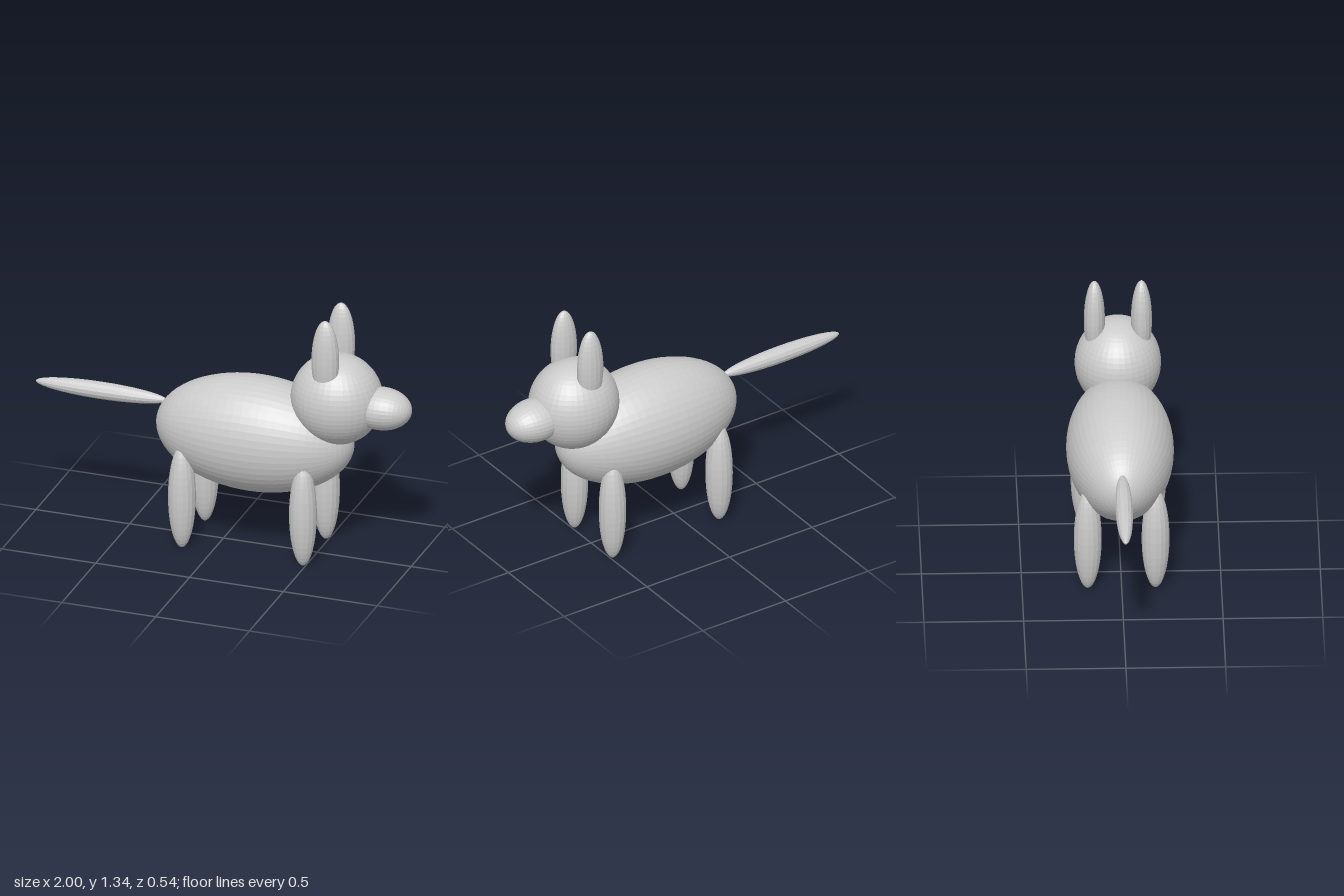
import * as THREE from 'three';

export function createModel() {
  const model = new THREE.Group();
  const material = new THREE.MeshStandardMaterial({ color: 0xcccccc, flatShading: true });

  // Faceted ellipsoid; its poles run along y, or along x when lengthwise.
  function ellipsoid(name, center, radii, sides, rings, lengthwise = false) {
    const geometry = new THREE.SphereGeometry(1, sides, rings);
    if (lengthwise) geometry.rotateZ(-Math.PI / 2);
    geometry.scale(...radii);
    const mesh = new THREE.Mesh(geometry, material);
    mesh.name = name;
    mesh.position.set(...center);
    model.add(mesh);
    return mesh;
  }

  // Torso, head and muzzle, facing +x
  ellipsoid('body', [0.17, 0.61, 0], [0.52, 0.30, 0.27], 48, 36, true);
  ellipsoid('head', [0.605, 0.868, 0], [0.235, 0.237, 0.217], 40, 28);
  ellipsoid('muzzle', [0.84, 0.848, 0], [0.16, 0.108, 0.121], 32, 20, true);

  // Thin tail, reaching straight back
  ellipsoid('tail', [-0.65, 0.713, 0], [0.35, 0.044, 0.044], 14, 20, true);

  // Paired ears and legs
  for (const [side, s] of [['right', -1], ['left', 1]]) {
    // The model's sides here run along z
    ellipsoid(`${side}Ear`, [0.585, 1.12, s * 0.118], [0.072, 0.22, 0.053], 16, 20);
    ellipsoid(`${side}FrontLeg`, [0.485, 0.28, s * 0.17], [0.07, 0.28, 0.07], 16, 20);
    ellipsoid(`${side}HindLeg`, [-0.16, 0.28, s * 0.17], [0.07, 0.28, 0.07], 16, 20);
  }

  return model;
}
